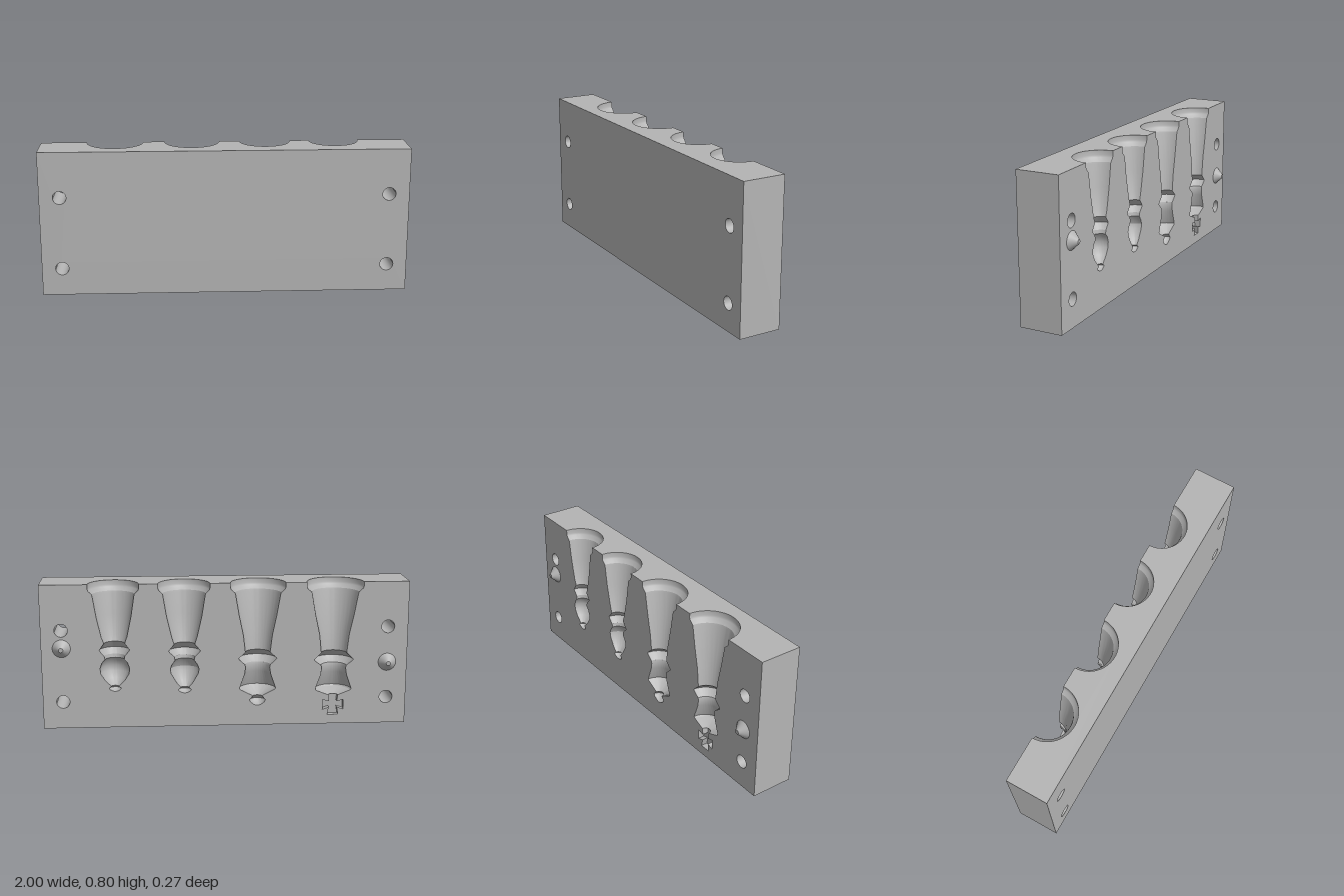
import * as THREE from 'three';
import { toCreasedNormals } from 'three/addons/utils/BufferGeometryUtils.js';

const FRONT = 0.137, BACK = -0.097, TOP = 0.8, HOLE_R = 0.036;
const HOLES = [[-0.89, 0.15], [0.89, 0.15], [0.89, 0.55], [-0.89, 0.55]];

// Foot and tapering stem shared by all cavities: [radius, depth below the top]
const foot = (r, neck, d) => [
  [r, 0], [r, 0.025], [r * 0.97, 0.036], [r * 0.83, 0.055], [r * 0.81, 0.066],
  [r * 0.68, 0.18], [(r * 0.6 + neck) / 2, 0.29], [neck, d],
];
// Round knob closing a profile
const knob = (r, d0, d1) => [
  [r * 0.6, d0], [r, d0 + (d1 - d0) * 0.4], [r * 0.85, d0 + (d1 - d0) * 0.65],
  [r * 0.4, d0 + (d1 - d0) * 0.92], [0, d1],
];
const crown = [[0.066, 0.48], [0.072, 0.52], [0.1, 0.6], [0.094, 0.608]];
const cross = [
  [0.026, 0.635], [0.022, 0.672], [0.058, 0.662], [0.058, 0.718],
  [0.022, 0.706], [0.03, 0.748], [0, 0.748],
];

const CAVITIES = [
  { name: 'smallestCavity', x: 0.605, r: 0.137, profile: [
    ...foot(0.137, 0.056, 0.325), [0.082, 0.362], [0.078, 0.37], [0.056, 0.395], [0.052, 0.415],
    [0.07, 0.435], [0.08, 0.465], [0.077, 0.495], [0.055, 0.53], [0.024, 0.562], ...knob(0.033, 0.565, 0.595)] },
  { name: 'smallCavity', x: 0.225, r: 0.14, profile: [
    ...foot(0.14, 0.056, 0.335), [0.086, 0.372], [0.082, 0.38], [0.056, 0.405], [0.052, 0.425],
    [0.07, 0.45], [0.079, 0.475], [0.074, 0.5], [0.045, 0.55], [0.024, 0.575], ...knob(0.036, 0.578, 0.61)] },
  { name: 'tallCavity', x: -0.175, r: 0.15, profile: [
    ...foot(0.15, 0.068, 0.385), [0.105, 0.42], [0.1, 0.428], [0.07, 0.455],
    ...crown.map(([r, d]) => [r, d - 0.01]), [0.03, 0.63], ...knob(0.044, 0.635, 0.688)] },
  { name: 'tallestCavity', x: -0.595, r: 0.155, cross, profile: [
    ...foot(0.155, 0.07, 0.395), [0.108, 0.432], [0.103, 0.44], [0.07, 0.465],
    ...crown, [0.026, 0.635]] },
];

// Flat-shaded strip that carries an xy path from z0 to z1
function strip(path, z0, z1) {
  const p = [];
  for (let i = 0; i + 1 < path.length; i++) {
    const [a, b] = path[i], [c, d] = path[i + 1];
    p.push(a, b, z0, c, d, z0, c, d, z1, a, b, z0, c, d, z1, a, b, z1);
  }
  const g = new THREE.BufferGeometry();
  g.setAttribute('position', new THREE.Float32BufferAttribute(p, 3));
  g.computeVertexNormals();
  return g;
}

// Both sides of a half outline, running from its +x end to its -x end
const mirrored = (half, x) => [
  ...half.map(([r, d]) => [x + r, TOP - d]),
  ...half.slice().reverse().map(([r, d]) => [x - r, TOP - d]),
];

function faceShape(points) {
  const s = new THREE.Shape(points.map(([x, y]) => new THREE.Vector2(x, y)));
  for (const [x, y] of HOLES) s.holes.push(new THREE.Path().absarc(x, y, HOLE_R, 0, Math.PI * 2, true));
  return s;
}

export function createModel() {
  const model = new THREE.Group();
  model.name = 'castingMoldHalf';
  const grey = new THREE.MeshStandardMaterial({ color: 0xb4b4b4, side: THREE.DoubleSide });
  grey.name = 'grey';
  const add = (name, geometry, x = 0, y = 0, z = 0) => {
    const m = new THREE.Mesh(geometry, grey);
    m.name = name;
    m.position.set(x, y, z);
    model.add(m);
    return m;
  };

  // Block faces
  const sides = [[-1, TOP], [-1, 0], [1, 0], [1, TOP]];
  add('blockSidesAndBottom', strip(sides, BACK, FRONT));
  add('frontFace', new THREE.ShapeGeometry(faceShape(sides), 24), 0, 0, FRONT);

  // Parting face, cut out along every cavity
  const outline = [[-1, 0], [1, 0], [1, TOP]];
  for (const c of CAVITIES) outline.push(...mirrored([...c.profile, ...(c.cross ?? []).slice(1)], c.x));
  outline.push([-1, TOP]);
  add('partingFace', new THREE.ShapeGeometry(faceShape(outline), 24), 0, 0, BACK);

  // Top face with half-round pouring openings
  const top = new THREE.Shape().moveTo(-1, -FRONT).lineTo(1, -FRONT).lineTo(1, -BACK);
  for (const c of CAVITIES) {
    top.lineTo(c.x + c.r, -BACK);
    top.absarc(c.x, -BACK, c.r, 0, -Math.PI, true);
  }
  top.lineTo(-1, -BACK);
  add('topFace', new THREE.ShapeGeometry(top, 20).rotateX(-Math.PI / 2), 0, TOP, 0);

  // Half-turned cavity walls
  for (const c of CAVITIES) {
    const points = c.profile.map(([r, d]) => new THREE.Vector2(r, TOP - d));
    const lathe = new THREE.LatheGeometry(points, 40, -Math.PI / 2, Math.PI);
    add(c.name, toCreasedNormals(lathe, 0.5), c.x, 0, BACK);
    if (c.cross) {
      // Cross-shaped pocket at the tip
      const path = mirrored(c.cross, c.x), floor = BACK + 0.035;
      add('crossPocketWall', strip(path, BACK, floor));
      const shape = new THREE.Shape(path.map(([x, y]) => new THREE.Vector2(x, y)));
      add('crossPocketFloor', new THREE.ShapeGeometry(shape), 0, 0, floor);
    }
  }

  // Bolt holes through the block
  for (const [x, y] of HOLES) {
    const bore = new THREE.CylinderGeometry(HOLE_R, HOLE_R, FRONT - BACK, 48, 1, true).rotateX(Math.PI / 2);
    add('boltHole', bore, x, y, (FRONT + BACK) / 2);
  }

  // Conical alignment pegs
  for (const [x, y] of [[0.89, 0.45], [-0.89, 0.35]]) {
    const peg = new THREE.CylinderGeometry(0.012, 0.049, 0.04, 40).rotateX(-Math.PI / 2);
    add('alignmentPeg', peg, x, y, BACK - 0.02);
  }
  return model;
}
